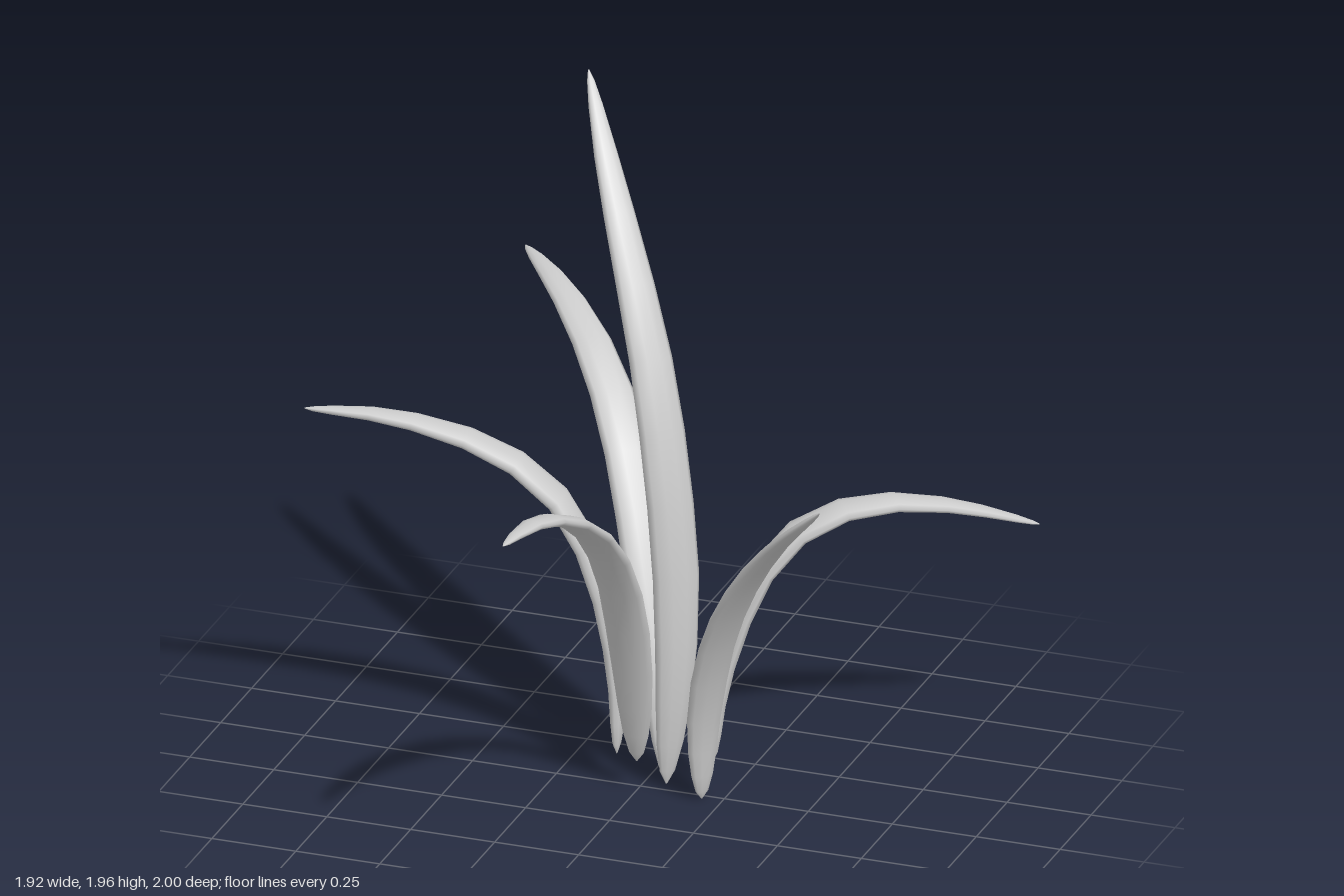
import * as THREE from 'three';

const material = new THREE.MeshStandardMaterial({ color: 0xcccccc });

// Leaf outline along its length: [t, width factor, thickness factor]
const OUTLINE = [
  [0, 0.03, 0.05], [0.02, 0.34, 0.4], [0.06, 0.58, 0.65], [0.12, 0.77, 0.85], [0.2, 0.91, 1],
  [0.3, 1, 1], [0.4, 1, 0.95], [0.5, 0.98, 0.88], [0.6, 0.92, 0.8], [0.7, 0.82, 0.72],
  [0.8, 0.67, 0.6], [0.88, 0.51, 0.5], [0.95, 0.31, 0.35], [0.985, 0.16, 0.2], [1, 0.03, 0.05],
];
const SIDES = 10;

// Flattened, tapering blade swept along a spine; its flat side faces up and outward
function makeLeaf(name, width, thickness, spine) {
  const curve = new THREE.CatmullRomCurve3(spine.map((p) => new THREE.Vector3(...p)));
  const out = curve.getPoint(1).sub(curve.getPoint(0));
  const side = new THREE.Vector3(out.z, 0, -out.x).normalize();
  const positions = [];
  const index = [];
  OUTLINE.forEach(([t, w, h], i) => {
    const centre = curve.getPointAt(t);
    const normal = curve.getTangentAt(t).cross(side).normalize();
    for (let j = 0; j < SIDES; j++) {
      const a = (j / SIDES) * Math.PI * 2;
      const p = centre.clone()
        .addScaledVector(side, Math.cos(a) * w * width / 2)
        .addScaledVector(normal, Math.sin(a) * h * thickness / 2);
      positions.push(p.x, p.y, p.z);
      if (i === 0) continue;
      const k = (j + 1) % SIDES;
      const lo = (i - 1) * SIDES;
      const hi = i * SIDES;
      index.push(lo + j, lo + k, hi + k, lo + j, hi + k, hi + j);
    }
  });
  // Close both pointed ends
  const last = (OUTLINE.length - 1) * SIDES;
  for (let j = 1; j < SIDES - 1; j++) {
    index.push(0, j + 1, j, last, last + j, last + j + 1);
  }
  const geometry = new THREE.BufferGeometry();
  geometry.setAttribute('position', new THREE.Float32BufferAttribute(positions, 3));
  geometry.setIndex(index);
  geometry.computeVertexNormals();
  const mesh = new THREE.Mesh(geometry, material);
  mesh.name = name;
  return mesh;
}

export function createModel() {
  const group = new THREE.Group();
  group.name = 'leafyPlant';
  group.add(
    makeLeaf('tallLeaf', 0.14, 0.065, [
      [0.07, 0.02, -0.02], [0.092, 0.3, -0.022], [0.095, 0.6, -0.035], [0.055, 0.97, -0.06],
      [-0.02, 1.3, -0.12], [-0.12, 1.56, -0.21], [-0.24, 1.81, -0.345], [-0.32, 1.965, -0.45],
    ]),
    makeLeaf('backRightLeaf', 0.14, 0.06, [
      [0.05, 0.01, -0.08], [0.02, 0.3, -0.12], [-0.05, 0.56, -0.2], [-0.12, 0.76, -0.29],
      [-0.2, 0.92, -0.39], [-0.3, 1.03, -0.51], [-0.42, 1.105, -0.65], [-0.565, 1.14, -0.82],
      [-0.71, 1.135, -1],
    ]),
    makeLeaf('rightLeaf', 0.14, 0.06, [
      [-0.07, 0.1, 0], [-0.085, 0.36, -0.035], [-0.16, 0.67, -0.035], [-0.27, 0.86, -0.02],
      [-0.41, 0.965, 0.005], [-0.565, 1.025, 0.035], [-0.75, 1.06, 0.07], [-0.96, 1.065, 0.11],
    ]),
    makeLeaf('frontLeaf', 0.135, 0.055, [
      [0, 0.1, 0.03], [0.015, 0.4, 0.105], [0.022, 0.7, 0.22], [0.017, 0.9, 0.36],
      [0.005, 1.03, 0.52], [-0.01, 1.11, 0.68], [-0.027, 1.152, 0.84], [-0.04, 1.16, 1],
    ]),
    makeLeaf('frontLeftLeaf', 0.125, 0.055, [
      [0.19, 0.01, 0.02], [0.205, 0.28, 0.04], [0.27, 0.54, 0.1], [0.375, 0.755, 0.18],
      [0.505, 0.935, 0.265], [0.665, 1.1, 0.36],
    ]),
    makeLeaf('backLeftLeaf', 0.135, 0.055, [
      [0.19, 0.09, -0.07], [0.2, 0.32, -0.1], [0.26, 0.55, -0.145], [0.33, 0.69, -0.195],
      [0.42, 0.775, -0.26], [0.53, 0.81, -0.33], [0.66, 0.81, -0.41], [0.82, 0.765, -0.515],
      [0.96, 0.7, -0.62],
    ]),
  );
  return group;
}
